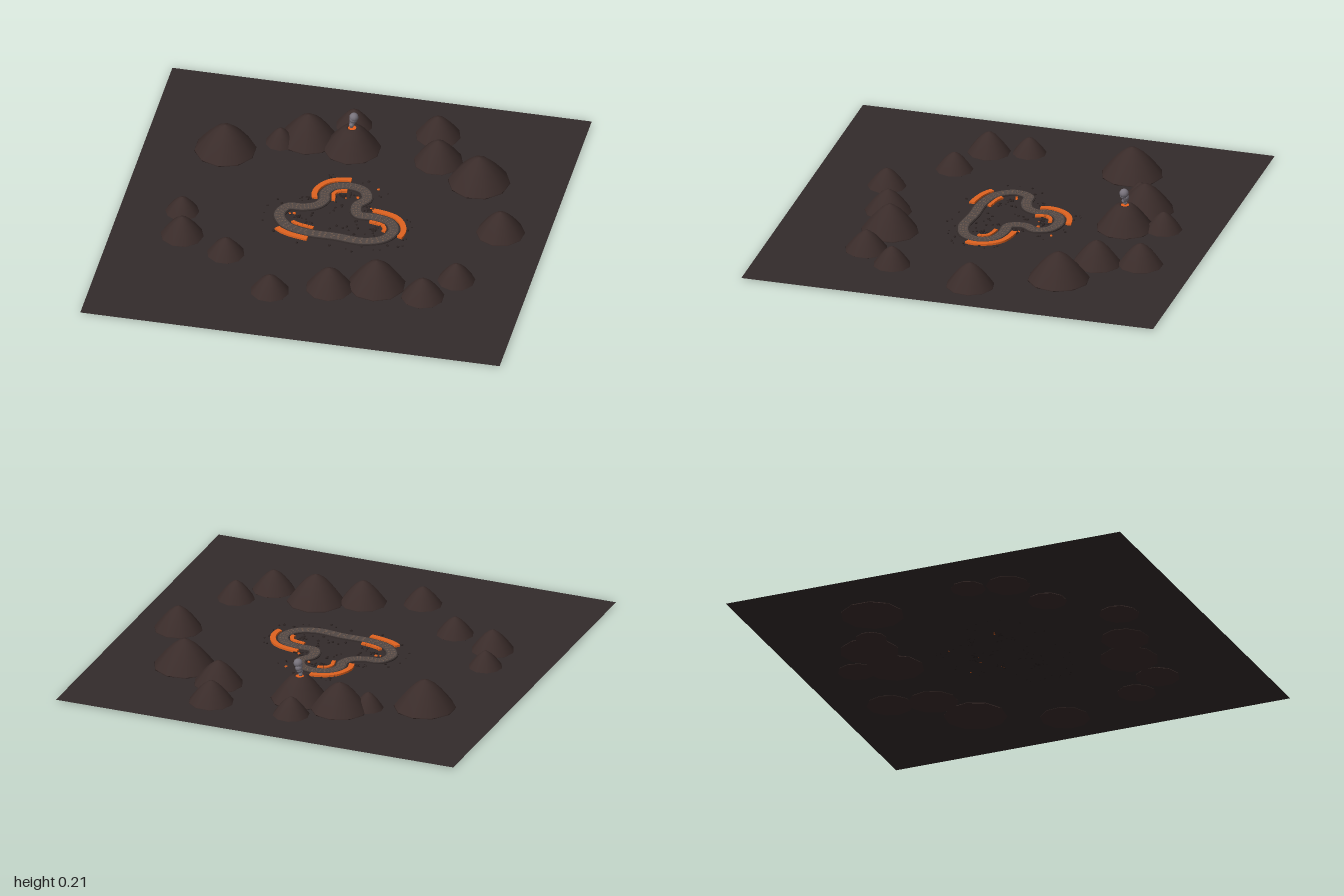
import * as THREE from 'three';
import { mergeGeometries } from 'three/addons/utils/BufferGeometryUtils.js';

const mat = (color, extra = {}) => new THREE.MeshStandardMaterial({ color, ...extra });
const GROUND = 0.005;

export function createModel() {
  const model = new THREE.Group();
  const add = (name, geometry, material, parent = model) => {
    const mesh = new THREE.Mesh(geometry, material);
    mesh.name = name;
    parent.add(mesh);
    return mesh;
  };
  let seed = 7;
  const rand = () => (seed = (seed * 16807) % 2147483647) / 2147483647;

  // Flat ash plain
  const plain = add('ground', new THREE.PlaneGeometry(2, 2), mat(0x332b2b, { side: THREE.DoubleSide }));
  plain.rotation.x = -Math.PI / 2;
  plain.position.y = GROUND;

  // Hills: x, z, radius, height
  const hills = [
    [-0.62, -0.42, 0.15, 0.145], [-0.26, -0.59, 0.14, 0.14], [-0.38, -0.53, 0.075, 0.085],
    [-0.075, -0.735, 0.09, 0.095], [0.325, -0.74, 0.11, 0.112], [0.37, -0.54, 0.12, 0.122],
    [0.59, -0.42, 0.15, 0.145], [0.775, -0.045, 0.118, 0.122], [0.655, 0.37, 0.092, 0.098],
    [0.53, 0.53, 0.105, 0.105], [0.3, 0.485, 0.14, 0.142], [0.09, 0.555, 0.115, 0.116],
    [-0.175, 0.64, 0.095, 0.095], [-0.44, 0.39, 0.092, 0.092], [-0.67, 0.29, 0.105, 0.108],
    [-0.71, 0.105, 0.083, 0.085],
  ];
  const lathe = (points) => new THREE.LatheGeometry(points.map(([r, y]) => new THREE.Vector2(r, y)), 10);
  const hillGeometry = lathe([[0, 0], [1, 0], [0.96, 0.06], [0.8, 0.28], [0.58, 0.56], [0.36, 0.79], [0.16, 0.94], [0, 1]]);
  const rock = mat(0x3a2c2a);
  const hillGroup = new THREE.Group();
  hillGroup.name = 'hills';
  model.add(hillGroup);
  hills.forEach(([x, z, r, h], i) => {
    const hill = add('hill', hillGeometry, rock, hillGroup);
    hill.position.set(x, 0, z);
    hill.scale.set(r, h, r);
    hill.rotation.y = i * 0.7;
  });

  // Volcano with a sunken crater, lava and a leaning smoke plume
  const volcano = new THREE.Group();
  volcano.name = 'volcano';
  volcano.position.set(-0.045, 0, -0.555);
  model.add(volcano);
  add('volcanoCone', lathe([[0, 0], [0.14, 0], [0.134, 0.008], [0.11, 0.04], [0.08, 0.08],
    [0.05, 0.113], [0.03, 0.124], [0.022, 0.122], [0.014, 0.114], [0, 0.114]]), rock, volcano);
  const lava = add('lava', new THREE.CylinderGeometry(0.02, 0.02, 0.003, 12), mat(0xe8601c), volcano);
  lava.position.y = 0.119;
  const smoke = mat(0x78737c);
  for (let i = 0; i < 6; i++) {
    const puff = add('smokePuff', new THREE.SphereGeometry(0.01 + i * 0.0024, 10, 8), smoke, volcano);
    puff.position.set(-0.004 + i * 0.0026, 0.13 + i * 0.0108, 0.004 * Math.sin(i * 1.8));
  }

  // Closed circuit, clockwise from the left end
  const path = [
    [-0.262, 0.04], [-0.235, -0.03], [-0.166, -0.04], [-0.107, -0.067], [-0.082, -0.115],
    [-0.09, -0.172], [-0.06, -0.226], [0.01, -0.248], [0.083, -0.226], [0.11, -0.163],
    [0.077, -0.104], [0.097, -0.035], [0.178, -0.03], [0.255, -0.005], [0.286, 0.06],
    [0.255, 0.13], [0.166, 0.168], [0.03, 0.158], [-0.1, 0.155], [-0.21, 0.12],
  ];
  const curve = new THREE.CatmullRomCurve3(path.map(([x, z]) => new THREE.Vector3(x, 0, z)), true);
  // Point beside the path; positive offsets lie outside the loop
  const beside = (u, offset, y) => {
    const t = ((u % 1) + 1) % 1;
    const p = curve.getPoint(t), d = curve.getTangent(t);
    return [p.x + d.z * offset, y, p.z - d.x * offset];
  };
  // Raised strip following the path between two offsets
  const strip = (u0, u1, steps, a, b, top) => {
    const pos = [], index = [];
    for (let i = 0; i <= steps; i++) {
      const u = u0 + (u1 - u0) * i / steps;
      pos.push(...beside(u, a, GROUND), ...beside(u, a, top), ...beside(u, b, top), ...beside(u, b, GROUND));
      if (i === steps) break;
      for (let k = 0; k < 3; k++) {
        const q = i * 4 + k;
        index.push(q, q + 4, q + 1, q + 1, q + 4, q + 5);
      }
    }
    const e = steps * 4;
    index.push(0, 1, 2, 0, 2, 3, e, e + 2, e + 1, e, e + 3, e + 2);
    const g = new THREE.BufferGeometry();
    g.setAttribute('position', new THREE.Float32BufferAttribute(pos, 3));
    g.setIndex(index);
    const flat = g.toNonIndexed();
    flat.computeVertexNormals();
    return flat;
  };
  const thin = (color) => mat(color, { side: THREE.DoubleSide });

  add('trackBed', strip(0, 1, 160, -0.03, 0.03, 0.010), thin(0x352d2c));
  add('trackSurface', strip(0, 1, 160, -0.024, 0.024, 0.012), thin(0x514744));

  // Worn plates across the track
  const plates = [];
  for (let i = 0; i < 80; i++) {
    for (const side of [-0.013, 0, 0.013]) {
      const u = (i + rand() * 0.4) / 80;
      plates.push(strip(u, u + 0.004, 1, side - 0.004, side + 0.004, 0.0135));
    }
  }
  add('trackPlates', mergeGeometries(plates), thin(0x6a574c));

  // Orange kerbs on both sides of three bends
  const orange = thin(0xe0621f);
  [[4.1, 7], [11.8, 14.4], [17.9, 19.1]].forEach(([from, to]) => {
    add('outerKerb', strip(from / 20, to / 20, 20, 0.034, 0.06, 0.015), orange);
    for (let i = 0; i < 5; i++) {
      const u = from + (to - from) * i / 5;
      add('innerKerb', strip(u / 20, (u + (to - from) * 0.19) / 20, 4, -0.05, -0.033, 0.015), orange);
    }
  });

  // Loose stones scattered beside the track, with a few glowing ones
  const stones = (name, count, size, color) => {
    const pieces = [];
    for (let i = 0; i < count; i++) {
      const offset = (rand() < 0.6 ? 1 : -1) * (0.04 + rand() * 0.06);
      const r = size * (0.5 + rand() * 0.6);
      const g = new THREE.DodecahedronGeometry(r);
      g.scale(1, 0.6, 0.8);
      g.rotateY(rand() * 6);
      g.translate(...beside(rand(), offset, GROUND + r * 0.35));
      pieces.push(g);
    }
    add(name, mergeGeometries(pieces), mat(color, { flatShading: true }));
  };
  stones('stones', 130, 0.008, 0x2a2221);
  stones('embers', 8, 0.009, 0xe0621f);
  return model;
}
